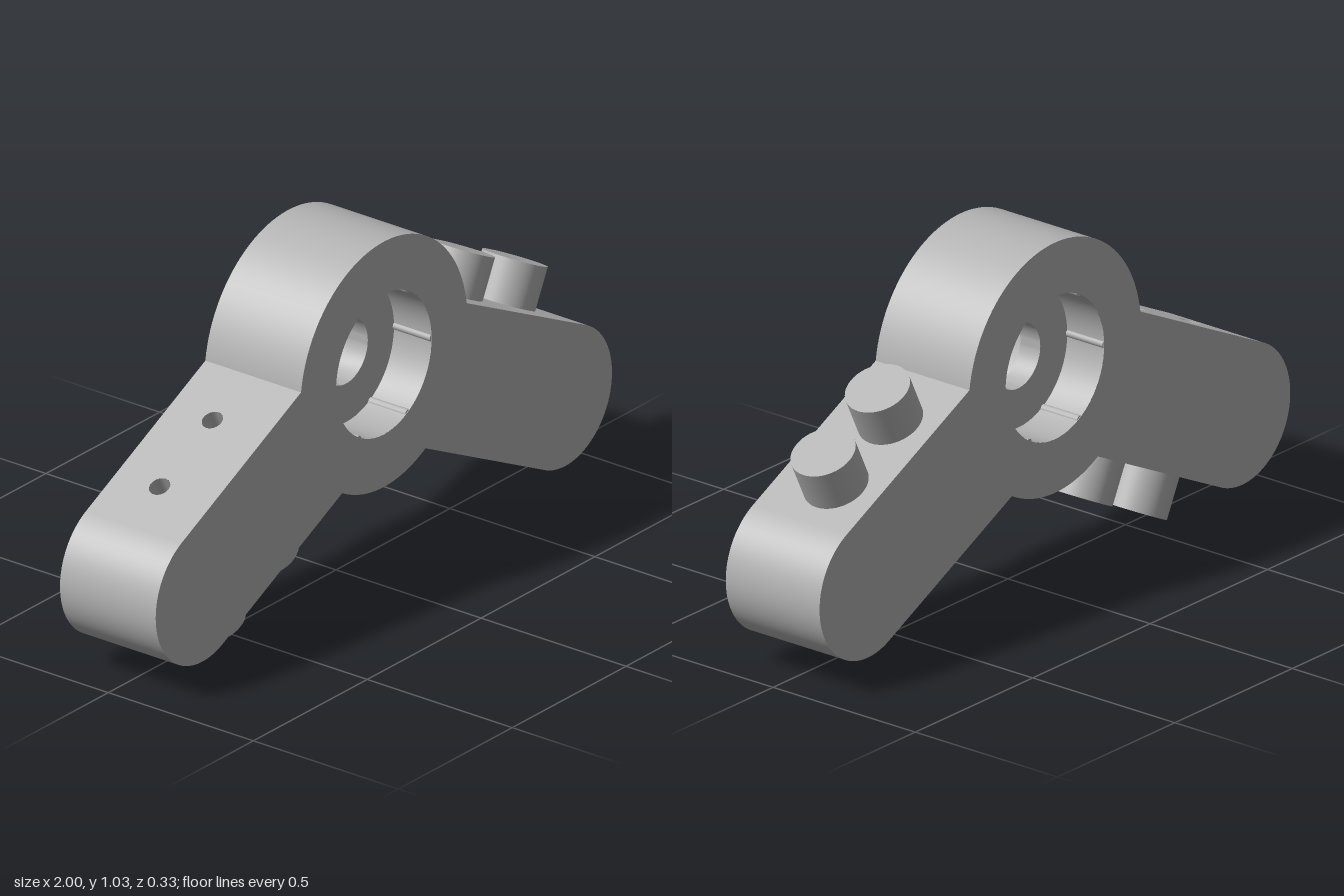
import * as THREE from 'three';
import { toCreasedNormals } from 'three/addons/utils/BufferGeometryUtils.js';

const DEPTH = 0.33;                      // thickness along z
const HUB_Y = 0.671, HUB_R = 0.367;      // central hub
const ARM_R = 0.205, ARM_L = 0.888;      // arm half width, hub centre to end centre
const TILT = THREE.MathUtils.degToRad(26.2);
const POCKET_R = 0.21, BORE_R = 0.095, WEB = 0.035;
const PEG_R = 0.0925, PEG_H = 0.125, HOLE_R = 0.03, HOLE_DEPTH = 0.15;
const STATIONS = [0.48, 0.738];          // peg and hole positions along an arm
const PEG_Z = -0.017;
const BETA = Math.asin(ARM_R / HUB_R);   // half angle where an arm meets the hub
const ROOT = HUB_R * Math.cos(BETA);

export function createModel() {
  const grey = new THREE.MeshStandardMaterial({ color: 0xb4b4b4 });
  grey.name = 'plain grey';
  const model = new THREE.Group();
  model.name = 'twoArmedBracket';

  const add = (parent, name, geometry) => {
    const mesh = new THREE.Mesh(geometry, grey);
    mesh.name = name;
    parent.add(mesh);
    return mesh;
  };

  // Outward curved wall between two angles, with its axis along z
  const curvedWall = (r, from, to) =>
    new THREE.CylinderGeometry(r, r, DEPTH, 48, 1, true, from + Math.PI / 2, to - from)
      .rotateX(Math.PI / 2);

  const lathe = (points, segments) => toCreasedNormals(
    new THREE.LatheGeometry(points.map(([x, y]) => new THREE.Vector2(x, y)), segments), 0.6);

  const body = new THREE.Group();
  body.name = 'body';
  body.position.y = HUB_Y;
  model.add(body);

  // Front and back faces
  const ex = ARM_L * Math.cos(TILT), ey = -ARM_L * Math.sin(TILT);
  const q = Math.PI / 2;
  const outline = new THREE.Shape();
  outline.absarc(ex, ey, ARM_R, -TILT - q, -TILT + q, false);
  outline.absarc(0, 0, HUB_R, -TILT + BETA, Math.PI + TILT - BETA, false);
  outline.absarc(-ex, ey, ARM_R, TILT + q, TILT + 3 * q, false);
  outline.absarc(0, 0, HUB_R, Math.PI + TILT + BETA, 2 * Math.PI - TILT - BETA, false);
  outline.closePath();
  outline.holes.push(new THREE.Path().absarc(0, 0, POCKET_R, 0, Math.PI * 2, true));
  for (const [name, turn, z] of [['frontFace', 0, DEPTH / 2], ['backFace', Math.PI, -DEPTH / 2]]) {
    add(body, name, new THREE.ShapeGeometry(outline, 48).rotateY(turn).translate(0, 0, z));
  }

  // Hub rim above and below the arms
  add(body, 'hubUpperWall', curvedWall(HUB_R, -TILT + BETA, Math.PI + TILT - BETA));
  add(body, 'hubLowerWall', curvedWall(HUB_R, Math.PI + TILT + BETA, 2 * Math.PI - TILT - BETA));

  // Pockets on both sides joined by the through bore
  add(body, 'pocketsAndBore', lathe([
    [POCKET_R, DEPTH / 2], [POCKET_R, WEB], [BORE_R, WEB],
    [BORE_R, -WEB], [POCKET_R, -WEB], [POCKET_R, -DEPTH / 2],
  ], 64).rotateX(Math.PI / 2));

  // Fine ribs along the pocket walls
  const ribLength = DEPTH / 2 - WEB;
  for (const side of [1, -1]) {
    for (let i = 0; i < 6; i++) {
      const a = i * Math.PI / 3;
      const rib = add(body, 'pocketRib',
        new THREE.CylinderGeometry(0.012, 0.012, ribLength - 0.002, 12).rotateX(Math.PI / 2));
      rib.position.set(Math.cos(a) * (POCKET_R + 0.006), Math.sin(a) * (POCKET_R + 0.006),
        side * (WEB + ribLength / 2 - 0.001));
    }
  }

  // Arm along local +x: pegs on its +y side, blind holes on its -y side
  const makeArm = (name, angle) => {
    const arm = new THREE.Group();
    arm.name = name;
    arm.rotation.z = angle;
    body.add(arm);

    add(arm, 'armEnd', curvedWall(ARM_R, -q, q).translate(ARM_L, 0, 0));
    add(arm, 'pegSide', new THREE.PlaneGeometry(ARM_L - ROOT, DEPTH)
      .rotateX(-q).translate((ARM_L + ROOT) / 2, ARM_R, 0));

    const plate = new THREE.Shape([
      [ROOT, -DEPTH / 2], [ARM_L, -DEPTH / 2], [ARM_L, DEPTH / 2], [ROOT, DEPTH / 2],
    ].map(([x, y]) => new THREE.Vector2(x, y)));
    for (const u of STATIONS) {
      plate.holes.push(new THREE.Path().absarc(u, PEG_Z, HOLE_R, 0, Math.PI * 2, true));
      add(arm, 'blindHole', lathe([[0, HOLE_DEPTH], [HOLE_R, HOLE_DEPTH], [HOLE_R, 0]], 24))
        .position.set(u, -ARM_R, PEG_Z);
      add(arm, 'peg', new THREE.CylinderGeometry(PEG_R, PEG_R, PEG_H, 48))
        .position.set(u, ARM_R + PEG_H / 2, PEG_Z);
    }
    add(arm, 'holeSide', new THREE.ShapeGeometry(plate, 24).rotateX(q).translate(0, -ARM_R, 0));
  };
  makeArm('leftArm', -TILT);
  makeArm('rightArm', Math.PI + TILT);

  return model;
}
